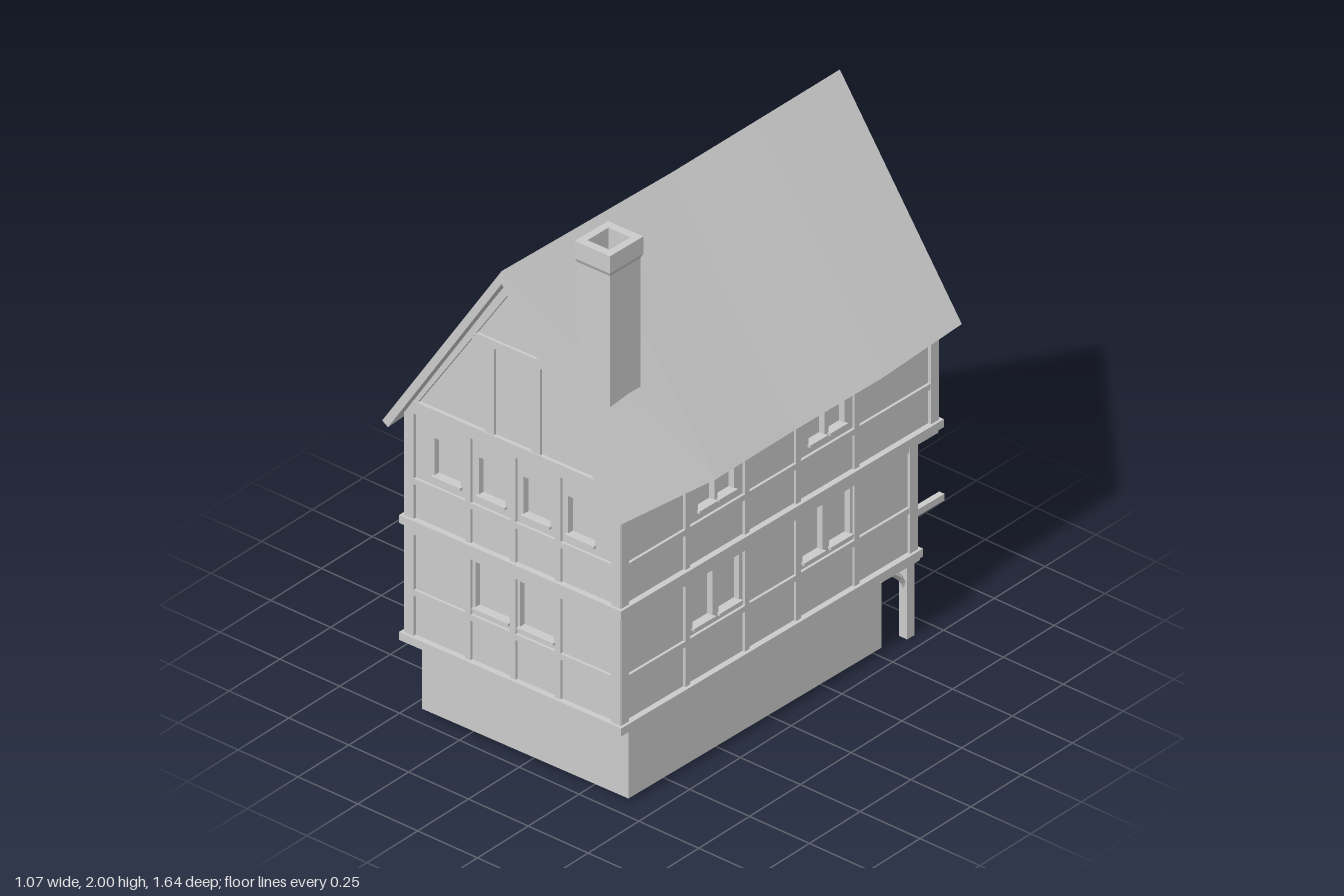
import * as THREE from 'three';

const mat = new THREE.MeshStandardMaterial({ color: 0xcccccc, flatShading: true, side: THREE.DoubleSide });

function add(parent, name, geometry) {
  const mesh = new THREE.Mesh(geometry, mat);
  mesh.name = name;
  parent.add(mesh);
  return mesh;
}

// Box given by its two extremes on each axis
function box(parent, name, x0, x1, y0, y1, z0, z1) {
  const g = new THREE.BoxGeometry(x1 - x0, y1 - y0, z1 - z0);
  g.translate((x0 + x1) / 2, (y0 + y1) / 2, (z0 + z1) / 2);
  return add(parent, name, g);
}

// Straight timber between two points
function timber(parent, name, a, b, w, d) {
  const p = new THREE.Vector3(...a), q = new THREE.Vector3(...b);
  const mesh = add(parent, name, new THREE.BoxGeometry(w, p.distanceTo(q), d));
  mesh.position.copy(p).add(q).multiplyScalar(0.5);
  mesh.quaternion.setFromUnitVectors(new THREE.Vector3(0, 1, 0), q.sub(p).normalize());
  return mesh;
}

const rectPoints = (x0, x1, y0, y1) => [[x0, y0], [x1, y0], [x1, y1], [x0, y1]].map(p => new THREE.Vector2(...p));

// Wall sheet with recessed windows; the outer face lies at z = 0
function panel(parent, outline, windows) {
  const shape = new THREE.Shape(outline);
  for (const [a, b, c, d] of windows) {
    shape.holes.push(new THREE.Path(rectPoints(a, b, c, d)));
    box(parent, 'windowPane', a, b, c, d, -0.03, -0.022);
    box(parent, 'windowSill', a - 0.005, b + 0.005, c - 0.01, c, -0.01, 0.012);
  }
  const g = new THREE.ExtrudeGeometry(shape, { depth: 0.025, bevelEnabled: false });
  add(parent, 'wall', g.translate(0, 0, -0.025));
}

// One timber-framed storey wall from u0 to u1
function storey(parent, name, u0, u1, lv, windows, posts) {
  const group = new THREE.Group();
  group.name = name;
  parent.add(group);
  panel(group, rectPoints(u0, u1, lv.y0, lv.y1), windows.map(([c, w]) => [c - w / 2, c + w / 2, lv.win[0], lv.win[1]]));
  box(group, 'sillBeam', u0 - 0.022, u1 + 0.022, lv.y0, lv.y0 + 0.03, -0.02, 0.022);
  box(group, 'middleRail', u0, u1, lv.rail, lv.rail + 0.022, -0.01, 0.01);
  box(group, 'topRail', u0, u1, lv.top, lv.top + 0.025, -0.01, 0.01);
  for (const p of posts) box(group, 'post', p - 0.011, p + 0.011, lv.y0 + 0.03, lv.y1, -0.01, 0.01);
  box(group, 'cornerPost', u0 - 0.01, u0 + 0.028, lv.y0 + 0.03, lv.y1, -0.02, 0.012);
  box(group, 'cornerPost', u1 - 0.028, u1 + 0.01, lv.y0 + 0.03, lv.y1, -0.02, 0.012);
  return group;
}

// Gable wall with rafters, collar and two posts
function gable(parent, name, windows, collarOut) {
  const group = new THREE.Group();
  group.name = name;
  parent.add(group);
  panel(group, [[-0.435, 1.18], [0.435, 1.18], [0, 1.83]].map(p => new THREE.Vector2(...p)), windows);
  box(group, 'tieBeam', -0.42, 0.42, 1.19, 1.215, -0.01, 0.014);
  box(group, 'collarBeam', -0.2, 0.2, 1.54, 1.57, -0.01, collarOut);
  for (const s of [-1, 1]) {
    box(group, 'gablePost', s * 0.095 - 0.018, s * 0.095 + 0.018, 1.21, 1.54, -0.01, 0.01);
    timber(group, 'gableRafter', [s * 0.425, 1.19, 0], [s * 0.005, 1.815, 0], 0.032, 0.024);
  }
  return group;
}

// Sagging roof: one closed cross-section carried along z
function roofGeometry() {
  const stations = [[0.812, 0.492, 0], [0.4, 0.528, 0.008], [0, 0.512, 0.015], [-0.4, 0.52, 0.008], [-0.805, 0.502, 0]];
  const rings = stations.map(([z, e, sag]) => [
    [0, 1.888 - sag * 0.7, z], [e, 1.13 - sag, z], [e - 0.024, 1.114 - sag, z],
    [0, 1.84 - sag * 0.7, z], [-e + 0.024, 1.114 - sag, z], [-e, 1.13 - sag, z]]);
  const pos = [];
  const quad = (a, b, c, d) => [a, b, c, a, c, d].forEach(p => pos.push(...p));
  for (let i = 0; i < rings.length - 1; i++)
    for (let j = 0; j < 6; j++) {
      const k = (j + 1) % 6;
      quad(rings[i][j], rings[i][k], rings[i + 1][k], rings[i + 1][j]);
    }
  const f = rings[0], b = rings[rings.length - 1];
  quad(f[0], f[3], f[2], f[1]);
  quad(f[0], f[5], f[4], f[3]);
  quad(b[0], b[1], b[2], b[3]);
  quad(b[0], b[3], b[4], b[5]);
  const g = new THREE.BufferGeometry();
  g.setAttribute('position', new THREE.Float32BufferAttribute(pos, 3));
  return g;
}

// Horizontal ring lying at height y
function ring(outer, inner, y, h) {
  const shape = new THREE.Shape(rectPoints(...outer));
  shape.holes.push(new THREE.Path(rectPoints(...inner)));
  return new THREE.ExtrudeGeometry(shape, { depth: h, bevelEnabled: false }).rotateX(-Math.PI / 2).translate(0, y, 0);
}

export function createModel() {
  const house = new THREE.Group();
  house.name = 'house';

  // Stone base, open below, with a door at the back (ring outlines use -z)
  add(house, 'base', ring([-0.425, 0.425, -0.7, 0.51], [-0.415, 0.415, -0.69, 0.5], 0.02, 0.28));
  add(house, 'lowerFloorEdge', ring([-0.435, 0.435, -0.75, 0.65], [-0.415, 0.415, -0.69, 0.5], 0.298, 0.01));
  box(house, 'door', -0.09, 0.09, 0.02, 0.24, -0.515, -0.505);
  for (const s of [-1, 1]) box(house, 'doorJamb', s * 0.1 - 0.01, s * 0.1 + 0.01, 0.02, 0.26, -0.522, -0.505);
  box(house, 'doorLintel', -0.11, 0.11, 0.24, 0.26, -0.522, -0.505);

  // Two timber-framed storeys; the upper one juts out at the back
  const lower = { y0: 0.3, y1: 0.74, win: [0.53, 0.7], rail: 0.48, top: 0.71 };
  const upper = { y0: 0.74, y1: 1.19, win: [0.96, 1.1], rail: 0.9, top: 1.165 };
  const lowWin = [[-0.092, 0.14], [0.092, 0.14]];
  const upWin = [-0.275, -0.092, 0.092, 0.275].map(c => [c, 0.11]);
  const posts = [-0.185, 0, 0.185];
  for (const [end, turn, zl, zu] of [['front', 0, 0.75, 0.75], ['back', Math.PI, -0.65, -0.75]]) {
    const parts = [
      [storey(house, end + 'LowerWall', -0.435, 0.435, lower, lowWin, posts), zl],
      [storey(house, end + 'UpperWall', -0.435, 0.435, upper, upWin, posts), zu],
      [gable(house, end + 'Gable', turn ? [[-0.075, 0.075, 1.26, 1.5]] : [], turn ? 0.035 : 0.01), zu]];
    for (const [g, z] of parts) {
      g.position.z = z;
      g.rotation.y = turn;
    }
  }
  const sideLow = [[0.358, 0.095], [0.232, 0.1], [-0.168, 0.095], [-0.297, 0.1]];
  const sideUp = [[0.34, 0.078], [0.246, 0.078], [-0.188, 0.075], [-0.283, 0.075]];
  const sidePosts = [0.44, 0.155, -0.09, -0.37];
  for (const s of [-1, 1]) {
    const name = s > 0 ? 'left' : 'right';
    const u = z => -s * z;
    const span = (a, b) => [Math.min(u(a), u(b)), Math.max(u(a), u(b))];
    const flip = list => list.map(([c, w]) => [u(c), w]);
    const walls = [
      storey(house, name + 'LowerWall', ...span(0.75, -0.65), lower, flip(sideLow), sidePosts.map(u)),
      storey(house, name + 'UpperWall', ...span(0.75, -0.75), upper, flip(sideUp), sidePosts.map(u))];
    for (const g of walls) {
      g.position.x = s * 0.435;
      g.rotation.y = s * Math.PI / 2;
    }
  }

  // Jetty floor and joists at the back
  box(house, 'jettyFloor', -0.435, 0.435, 0.738, 0.748, -0.75, -0.64);
  for (let i = 0; i < 7; i++) {
    const x = -0.42 + i * 0.14;
    box(house, 'lowerJoist', x - 0.014, x + 0.014, 0.272, 0.3, -0.685, -0.5);
    box(house, 'upperJoist', x - 0.014, x + 0.014, 0.71, 0.74, -0.772, -0.64);
  }
  box(house, 'porchBeam', -0.43, 0.43, 0.272, 0.3, -0.66, -0.625);

  // Porch posts with curved braces
  for (const s of [-1, 1]) {
    const x = s * 0.415;
    box(house, 'porchPost', x - 0.017, x + 0.017, 0, 0.275, -0.66, -0.625);
    const brace = (a, m, b) => {
      const curve = new THREE.QuadraticBezierCurve3(...[a, m, b].map(p => new THREE.Vector3(...p)));
      add(house, 'porchBrace', new THREE.TubeGeometry(curve, 5, 0.011, 4));
    };
    brace([x, 0.19, -0.635], [x, 0.245, -0.615], [x, 0.28, -0.55]);
    brace([x, 0.19, -0.643], [x - s * 0.02, 0.245, -0.643], [x - s * 0.09, 0.28, -0.643]);
  }
  box(house, 'signBar', 0.4, 0.422, 0.43, 0.455, -0.815, -0.64);

  // Roof and hollow chimney
  add(house, 'roof', roofGeometry());
  const profile = [[0.073, 1.3], [0.073, 1.92], [0.08, 1.935], [0.08, 2], [0.05, 2], [0.05, 1.86], [0, 1.86]];
  const chimney = add(house, 'chimney', new THREE.LatheGeometry(
    profile.map(([r, y]) => new THREE.Vector2(r * Math.SQRT2, y)), 4, Math.PI / 4));
  chimney.scale.x = 0.91;
  chimney.position.set(0.245, 0, 0.584);

  // Lean the plan slightly out of square
  house.updateMatrixWorld(true);
  house.traverse(o => {
    if (!o.isMesh) return;
    const g = o.geometry.index ? o.geometry.toNonIndexed() : o.geometry;
    g.applyMatrix4(o.matrixWorld);
    const p = g.attributes.position;
    for (let i = 0; i < p.count; i++) {
      const x = p.getX(i), z = p.getZ(i);
      p.setX(i, x - 0.025 * z);
      p.setZ(i, z - 0.018 * x);
    }
    g.computeVertexNormals();
    o.geometry = g;
  });
  house.traverse(o => {
    o.position.set(0, 0, 0);
    o.rotation.set(0, 0, 0);
    o.scale.set(1, 1, 1);
  });
  return house;
}
